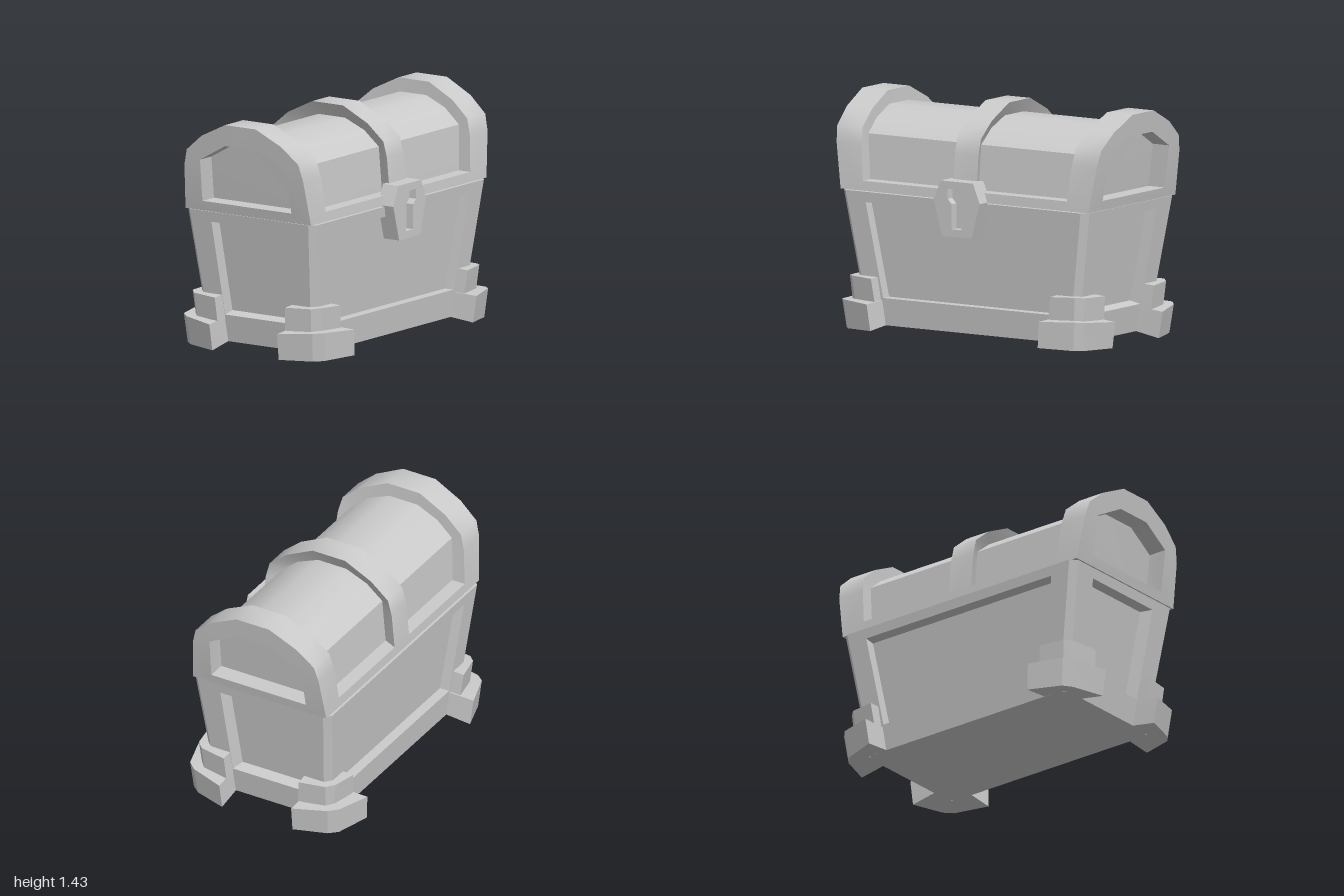
import * as THREE from 'three';
import { toCreasedNormals } from 'three/addons/utils/BufferGeometryUtils.js';

const material = new THREE.MeshStandardMaterial({ color: 0xcccccc });

// Joins closed loops of [x, y, z] points (clockwise seen from the last loop), with optional end caps.
// sx and sz mirror the result.
function skin(name, loops, { first = false, last = false, sx = 1, sz = 1, crease = 0.15 } = {}) {
  const pos = [];
  const tri = (a, b, c) => {
    const corners = sx * sz < 0 ? [a, c, b] : [a, b, c];
    for (const [x, y, z] of corners) pos.push(x * sx, y, z * sz);
  };
  const n = loops[0].length;
  for (let k = 0; k + 1 < loops.length; k++) {
    for (let i = 0; i < n; i++) {
      const j = (i + 1) % n, A = loops[k], B = loops[k + 1];
      tri(A[i], B[i], B[j]);
      tri(A[i], B[j], A[j]);
    }
  }
  const end = loops[loops.length - 1];
  for (let i = 1; i + 1 < n; i++) {
    if (first) tri(loops[0][0], loops[0][i], loops[0][i + 1]);
    if (last) tri(end[0], end[i + 1], end[i]);
  }
  const geometry = new THREE.BufferGeometry();
  geometry.setAttribute('position', new THREE.Float32BufferAttribute(pos, 3));
  const mesh = new THREE.Mesh(toCreasedNormals(geometry, crease), material);
  mesh.name = name;
  return mesh;
}

// Body taper: half width and half depth at height y
const bodyX = y => 0.91 - (0.855 - y) * 0.16;
const bodyZ = y => 0.487 - (0.855 - y) * 0.086;
const BOTTOM = 0.03, TOP = 0.855, CHAMFER = 0.04;

function makeBody() {
  const body = new THREE.Group();
  body.name = 'body';

  // Four walls, each a frame around a sunken panel
  const frontLoop = (y0, y1, x0, x1, sink) => [[-x0, y0], [-x1, y1], [x1, y1], [x0, y0]]
    .map(([x, y]) => [x, y, bodyZ(y) - sink]);
  const sideLoop = (y0, y1, z0, z1, sink, slant = 0) =>
    [[z0 - slant, y0], [z1 - slant, y1], [-z1, y1], [-z0, y0]].map(([z, y]) => [bodyX(y) - sink, y, z]);
  for (const s of [1, -1]) {
    body.add(skin(s > 0 ? 'frontWall' : 'backWall', [
      frontLoop(BOTTOM, TOP, bodyX(BOTTOM) - CHAMFER, bodyX(TOP) - CHAMFER, 0),
      frontLoop(0.2, 0.79, 0.63, 0.725, 0),
      frontLoop(0.2, 0.78, 0.63, 0.725, 0.065),
    ], { last: true, sz: s }));
    body.add(skin(s > 0 ? 'leftWall' : 'rightWall', [
      sideLoop(BOTTOM, TOP, bodyZ(BOTTOM) - CHAMFER, bodyZ(TOP) - CHAMFER, 0),
      sideLoop(0.2, 0.79, 0.255, 0.29, 0),
      sideLoop(0.215, 0.79, 0.255, 0.29, 0.08, 0.023),
    ], { last: true, sx: s }));
  }

  // Chamfered corner posts
  const corner = y => {
    const x = bodyX(y), z = bodyZ(y), c = CHAMFER;
    return [[x - c, y, z - c], [x, y, z - c], [x - c, y, z]];
  };
  for (const sx of [1, -1]) for (const sz of [1, -1]) {
    body.add(skin('cornerPost', [corner(BOTTOM), corner(TOP)], { sx, sz }));
  }

  // Floor and top deck
  const octagon = y => {
    const x = bodyX(y), z = bodyZ(y), c = CHAMFER;
    return [[x, c - z], [x, z - c], [x - c, z], [c - x, z], [-x, z - c], [-x, c - z], [c - x, -z], [x - c, -z]]
      .map(([px, pz]) => [px, y, pz]);
  };
  for (const [name, y] of [['floor', BOTTOM], ['deck', TOP - 0.002]]) {
    body.add(skin(name, [octagon(y), octagon(y + 0.002)], { first: true, last: true }));
  }
  return body;
}

// Two-tier foot wrapped round each corner, its underside rising to the floor
function makeFeet() {
  const feet = new THREE.Group();
  feet.name = 'feet';
  const lower = [
    [[0.765, 0.031, 0.405], [0.772, 0.031, 0.25], [0.945, 0, 0.25], [0.88, 0.003, 0.46],
      [0.835, 0.006, 0.515], [0.62, 0.015, 0.585], [0.62, 0.031, 0.41]],
    [[0.765, 0.185, 0.4], [0.765, 0.185, 0.26], [0.97, 0.165, 0.255], [0.903, 0.18, 0.475],
      [0.855, 0.185, 0.53], [0.637, 0.18, 0.6], [0.637, 0.185, 0.4]],
  ];
  const upper = [
    [[0.765, 0.17, 0.4], [0.765, 0.17, 0.255], [0.885, 0.17, 0.255], [0.855, 0.17, 0.43],
      [0.81, 0.17, 0.47], [0.645, 0.17, 0.5], [0.645, 0.17, 0.4]],
    [[0.765, 0.33, 0.4], [0.765, 0.33, 0.265], [0.9, 0.32, 0.265], [0.87, 0.325, 0.44],
      [0.825, 0.33, 0.485], [0.663, 0.325, 0.515], [0.663, 0.33, 0.4]],
  ];
  for (const sx of [1, -1]) for (const sz of [1, -1]) {
    const foot = new THREE.Group();
    foot.name = 'foot';
    foot.add(skin('footBase', lower, { first: true, last: true, sx, sz }));
    foot.add(skin('footCollar', upper, { last: true, sx, sz }));
    feet.add(foot);
  }
  return feet;
}

// Arch sections as [z, y], completed by mirroring
const arch = half => [...half, ...half.map(([z, y]) => [-z, y]).reverse()];
const bandArch = arch([[0.473, 0.858], [0.447, 1.14], [0.42, 1.24], [0.3, 1.34], [0.115, 1.43]]);
const barrelArch = arch([[0.384, 0.858], [0.36, 1.14], [0.355, 1.195], [0.245, 1.285], [0.1, 1.345]]);
const recessArch = arch([[0.335, 0.92], [0.327, 1.14], [0.325, 1.185], [0.225, 1.24], [0.125, 1.295]]);
const at = (section, xOf) => section.map(([z, y]) => [xOf(y), y, z]);

function makeLid() {
  const lid = new THREE.Group();
  lid.name = 'lid';
  const crease = 0.64;

  lid.add(skin('lidBarrel', [at(barrelArch, () => -0.82), at(barrelArch, () => 0.82)], { crease: 0.72 }));

  // Flared end bands with a deep sunken end panel
  const inner = y => 0.755 + (y - 0.92) * 0.108;
  const outer = y => 0.916 + 0.084 * ((y - 0.858) / 0.572) ** 0.8;
  for (const sx of [1, -1]) {
    lid.add(skin('endBand', [
      at(barrelArch, y => inner(y) + 0.006), at(bandArch, inner), at(bandArch, outer),
      at(recessArch, outer), at(recessArch, y => outer(y) - 0.12),
    ], { last: true, sx, crease }));
  }

  // Centre band, undercut towards the barrel
  const w = 0.087, root = 0.045;
  lid.add(skin('centreBand', [
    at(barrelArch, () => -root), at(bandArch, () => -w), at(bandArch, () => w), at(barrelArch, () => root),
  ], { crease }));

  // Rim along the lower edge
  const rim = (y, z) => [[-0.755, y, z], [-0.755, y, -z], [0.755, y, -z], [0.755, y, z]];
  lid.add(skin('lidRim', [rim(0.858, 0.473), rim(0.918, 0.4675)], { first: true, last: true }));
  return lid;
}

function makeLock() {
  const lock = new THREE.Group();
  lock.name = 'lock';
  const mirrored = half => [...half, ...half.map(([x, y]) => [-x, y]).reverse()]
    .map(([x, y]) => new THREE.Vector2(x, y));
  const outline = mirrored([[0.11, 0.643], [0.17, 0.862], [0.12, 0.985]]);
  const keyhole = mirrored([[0.037, 0.69], [0.037, 0.845], [0.067, 0.875], [0.067, 0.937]]);
  const plate = (name, z, depth, hole) => {
    const shape = new THREE.Shape(outline);
    if (hole) shape.holes.push(new THREE.Path(hole));
    const mesh = new THREE.Mesh(new THREE.ExtrudeGeometry(shape, { depth, bevelEnabled: false }), material);
    mesh.name = name;
    mesh.position.z = z;
    lock.add(mesh);
  };
  plate('lockBack', 0.44, 0.065);
  plate('lockFace', 0.505, 0.05, keyhole);
  return lock;
}

export function createModel() {
  const chest = new THREE.Group();
  chest.name = 'chest';
  chest.add(makeBody(), makeFeet(), makeLid(), makeLock());
  return chest;
}
